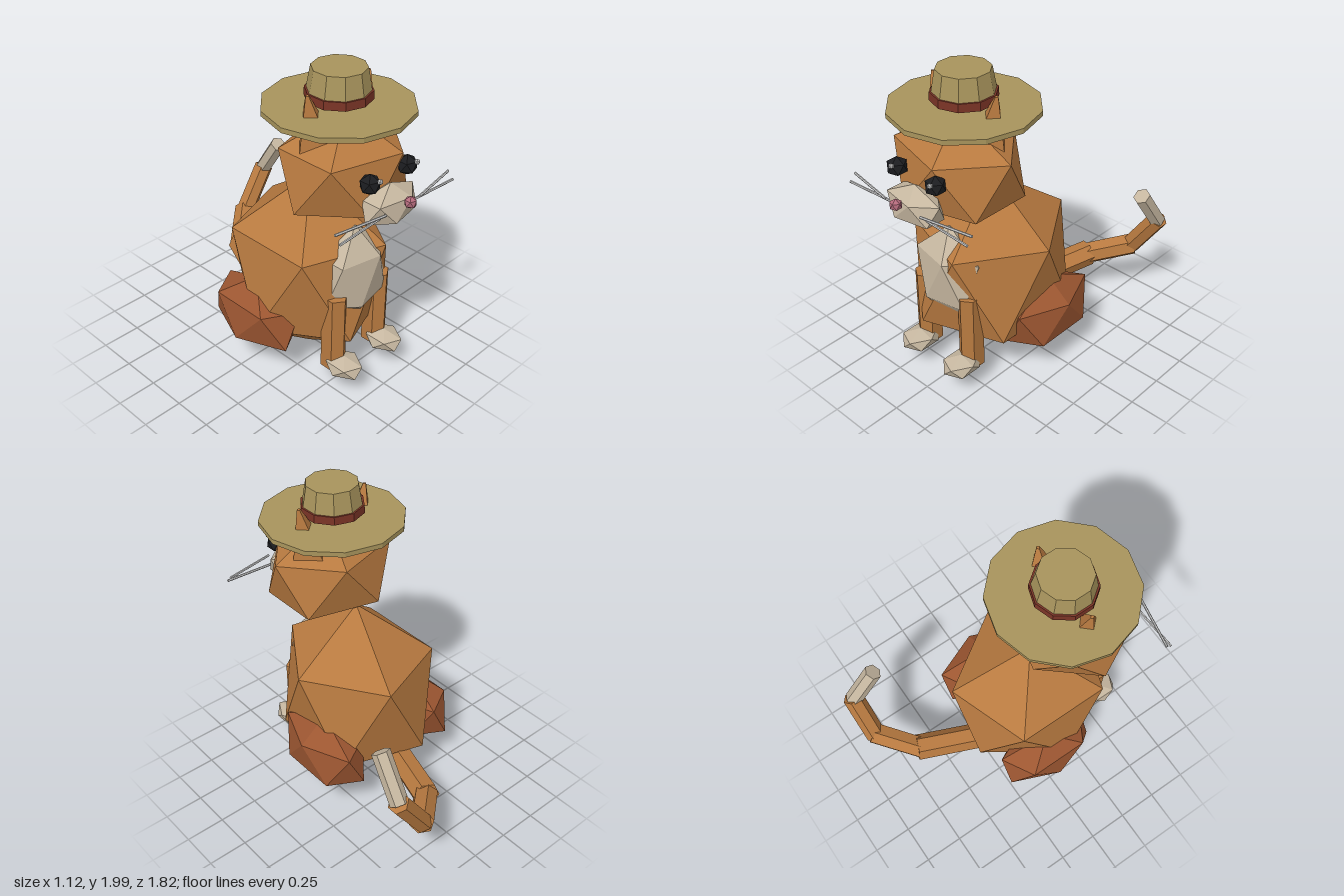
import * as THREE from 'three';
import { ConvexGeometry } from 'three/addons/geometries/ConvexGeometry.js';

const CX = -0.025; // plane of symmetry of everything but the tail

const paint = (color) => new THREE.MeshStandardMaterial({ color, flatShading: true });
const fur = paint(0xb87a40);
const thighFur = paint(0x9c5631);
const cream = paint(0xc6b7a0);
const straw = paint(0xa8945c);
const ribbon = paint(0x7a3426);
const black = paint(0x1c1d20);
const pink = paint(0xb46a7c);
const grey = paint(0xcccccc);

// Icosahedron standing on a corner: two poles and two staggered rings of five
function icoGeometry() {
  const points = [new THREE.Vector3(0, 1, 0), new THREE.Vector3(0, -1, 0)];
  const h = 1 / Math.sqrt(5);
  for (let i = 0; i < 10; i++) {
    const a = (i * Math.PI) / 5;
    points.push(new THREE.Vector3(2 * h * Math.cos(a), i % 2 ? -h : h, 2 * h * Math.sin(a)));
  }
  return new ConvexGeometry(points);
}

export function createModel() {
  const model = new THREE.Group();
  model.name = 'catInHat';

  function add(name, geometry, material, x, y, z) {
    const mesh = new THREE.Mesh(geometry, material);
    mesh.name = name;
    mesh.position.set(x, y, z);
    model.add(mesh);
    return mesh;
  }

  function ico(name, material, [x, y, z], [rx, ry, rz]) {
    return add(name, icoGeometry().scale(rx, ry, rz), material, x, y, z);
  }

  // Prism between two points
  function rod(name, material, from, to, r0, r1, sides, overlap = 0) {
    const a = new THREE.Vector3(...from);
    const b = new THREE.Vector3(...to);
    const dir = b.clone().sub(a);
    const mid = a.clone().add(b).multiplyScalar(0.5);
    const geometry = new THREE.CylinderGeometry(r1, r0, dir.length() + overlap, sides);
    const mesh = add(name, geometry, material, mid.x, mid.y, mid.z);
    mesh.quaternion.setFromUnitVectors(new THREE.Vector3(0, 1, 0), dir.normalize());
    return mesh;
  }

  // Body, chest and head
  ico('body', fur, [CX, 0.635, 0.135], [0.51, 0.625, 0.56]);
  ico('chestPatch', cream, [CX, 0.735, 0.49], [0.262, 0.33, 0.165]);
  ico('head', fur, [CX, 1.415, 0.39], [0.44, 0.345, 0.376]);
  ico('muzzle', cream, [CX, 1.315, 0.73], [0.215, 0.13, 0.125]);
  ico('nose', pink, [CX + 0.003, 1.38, 0.87], [0.038, 0.038, 0.038]);

  // Paired parts
  for (const [side, s] of [['left', 1], ['right', -1]]) {
    const x = (d) => CX + s * d;

    ico(side + 'Eye', black, [x(0.152), 1.49, 0.715], [0.063, 0.063, 0.063]);
    ico(side + 'EyeGlint', grey, [x(0.152) - s * 0.0 + 0.017, 1.52, 0.77], [0.017, 0.017, 0.017]);

    const ear = add(side + 'Ear', new THREE.CylinderGeometry(0.012, 0.13, 0.33, 4), fur, x(0.21), 1.745, 0.34);
    ear.rotation.z = -s * 0.21;

    rod(side + 'UpperWhisker', grey, [x(0.14), 1.34, 0.825], [x(0.47), 1.34, 0.765], 0.008, 0.008, 6);
    rod(side + 'LowerWhisker', grey, [x(0.14), 1.3, 0.783], [x(0.47), 1.3, 0.802], 0.008, 0.008, 6);

    const leg = new THREE.CylinderGeometry(1, 1, 0.51, 6).scale(0.073, 1, 0.085);
    add(side + 'FrontLeg', leg, fur, x(0.183), 0.415, 0.513);
    ico(side + 'Paw', cream, [x(0.181), 0.198, 0.6], [0.11, 0.067, 0.14]);
    ico(side + 'Thigh', thighFur, [x(0.352), 0.39, 0.03], [0.205, 0.254, 0.36]);
  }

  // Tail: jointed prisms curling to the model's left, with a pale tip
  const tail = [
    [-0.04, 0.28, -0.28],
    [0.1, 0.335, -0.65],
    [0.32, 0.415, -0.845],
    [0.505, 0.69, -0.85],
    [0.49, 0.945, -0.675],
  ];
  const radii = [0.085, 0.075, 0.065, 0.055];
  radii.forEach((r, i) => {
    const tip = i === 3;
    rod(tip ? 'tailTip' : 'tailSegment' + (i + 1), tip ? cream : fur, tail[i], tail[i + 1], r, r, 6, tip ? 0 : 0.03);
  });

  // Hat
  add('hatBrim', new THREE.CylinderGeometry(0.435, 0.435, 0.03, 12), straw, CX, 1.773, 0.34);
  add('hatBand', new THREE.CylinderGeometry(0.191, 0.193, 0.05, 10), ribbon, CX, 1.847, 0.34);
  add('hatCrown', new THREE.CylinderGeometry(0.157, 0.188, 0.172, 10), straw, CX, 1.914, 0.34);

  return model;
}
